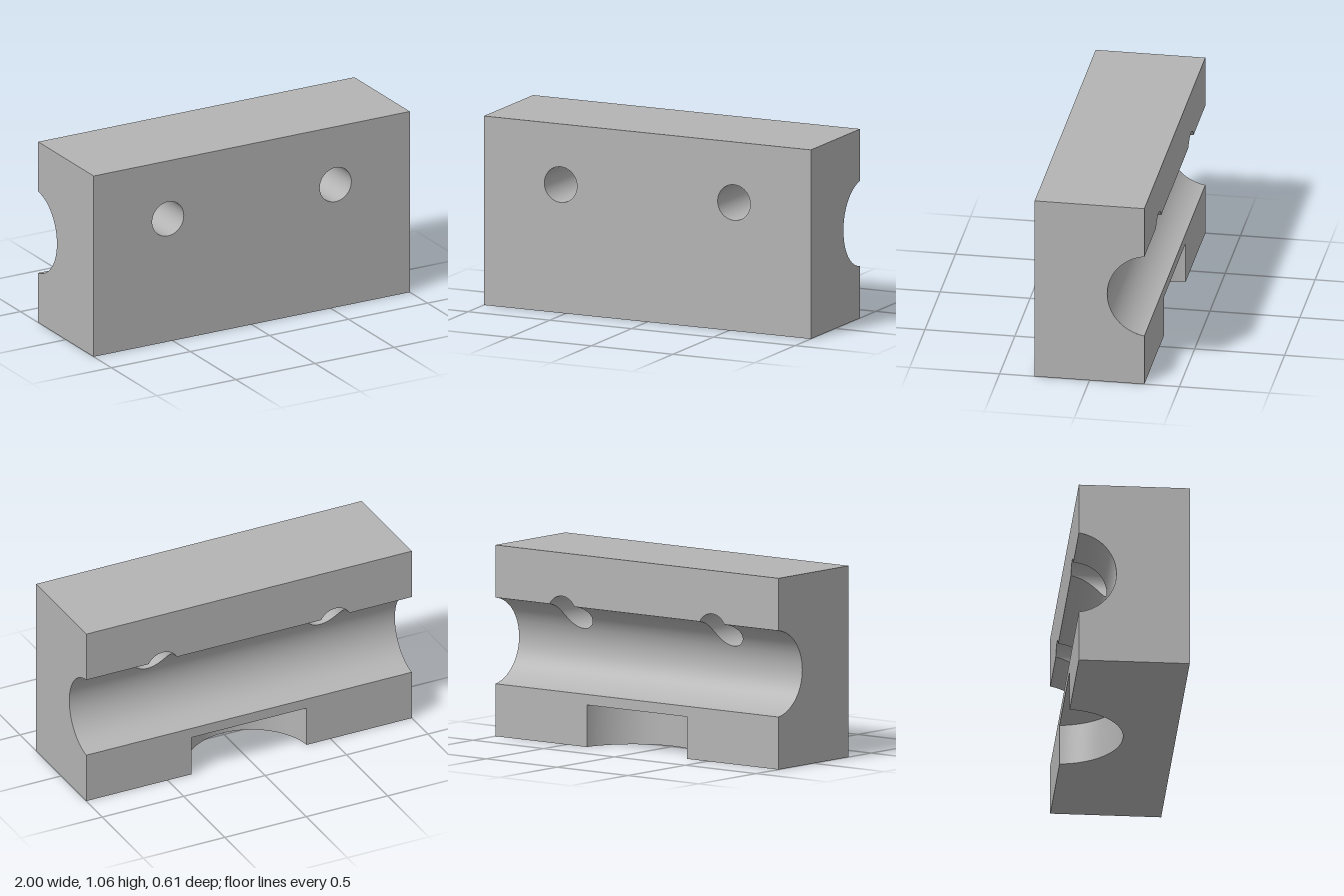
import * as THREE from 'three';

const W = 1, H = 1.06, D = 0.305;            // half width, height, half depth
const AXIS_Z = -0.34;                        // axis of channel and pocket, just behind the back
const CH_Y = 0.53, CH_R = 0.2415;            // round channel along x
const HOLE_X = 0.53, HOLE_Y = 0.72, HOLE_R = 0.1;
const POCKET_R = 0.3557, POCKET_H = 0.233;   // round pocket rising from the bottom

const range = (n, f) => Array.from({ length: n + 1 }, (_, i) => f(i / n));

// Smooth surface through rows of points; it faces (along row) x (row to row)
function loft(rows) {
  const n = rows[0].length, index = [];
  for (let i = 0; i < rows.length - 1; i++) {
    for (let j = 0; j < n - 1; j++) {
      const a = i * n + j, b = a + 1, c = a + n, d = c + 1;
      index.push(a, b, d, a, d, c);
    }
  }
  const g = new THREE.BufferGeometry();
  g.setAttribute('position', new THREE.Float32BufferAttribute(rows.flat(2), 3));
  g.setIndex(index);
  g.computeVertexNormals();
  return g;
}

// Flat outline with optional round holes
function flat(points, holes = []) {
  const shape = new THREE.Shape(points.map(([x, y]) => new THREE.Vector2(x, y)));
  for (const h of holes) shape.holes.push(new THREE.Path(h.map(([x, y]) => new THREE.Vector2(x, y))));
  return new THREE.ShapeGeometry(shape);
}

export function createModel() {
  const group = new THREE.Group();
  const grey = new THREE.MeshStandardMaterial({ color: 0xb4b4b4, side: THREE.DoubleSide });
  const add = (name, geometry) => {
    grey.name = 'grey';
    const mesh = new THREE.Mesh(geometry, grey);
    mesh.name = name;
    group.add(mesh);
  };

  // Channel profile
  const chA = Math.acos((-D - AXIS_Z) / CH_R);
  const yTop = CH_Y + CH_R * Math.sin(chA), yBot = 2 * CH_Y - yTop;
  const channelZ = y => (y >= yTop || y <= yBot ? -D
    : AXIS_Z + Math.sqrt(CH_R ** 2 - (y - CH_Y) ** 2));

  // Heights across a hole, with the channel edge included
  const holeYs = range(32, t => HOLE_Y - HOLE_R * Math.cos(Math.PI * t));
  holeYs.push(yTop);
  holeYs.sort((a, b) => a - b);
  const halfWidth = y => Math.sqrt(Math.max(0, HOLE_R ** 2 - (y - HOLE_Y) ** 2));
  const ring = (cx, ys) => [
    ...ys.map(y => [cx + halfWidth(y), y]),
    ...ys.slice(0, -1).reverse().map(y => [cx - halfWidth(y), y]),
  ];
  const centres = [-HOLE_X, HOLE_X];

  // Front, top
  const rect = [[-W, 0], [W, 0], [W, H], [-W, H]];
  add('frontFace', flat(rect, centres.map(cx => ring(cx, holeYs).slice(0, -1))).translate(0, 0, D));
  add('topFace', flat([[-W, -D], [W, -D], [W, D], [-W, D]]).rotateX(-Math.PI / 2).translate(0, H, 0));

  // Ends with the channel cut out
  const arc = range(48, t => {
    const a = chA * (2 * t - 1);
    return [AXIS_Z + CH_R * Math.cos(a), CH_Y + CH_R * Math.sin(a)];
  });
  const endOutline = [[D, 0], [D, H], [-D, H], ...arc.slice().reverse(), [-D, 0]];
  add('rightEnd', flat(endOutline).rotateY(-Math.PI / 2).translate(-W, 0, 0));
  add('leftEnd', flat(endOutline.map(([z, y]) => [-z, y])).rotateY(Math.PI / 2).translate(W, 0, 0));

  // Back strips above and below the channel
  const upperYs = holeYs.filter(y => y >= yTop);
  const notches = centres.flatMap(cx => ring(cx, upperYs).reverse());
  add('backUpperFace', flat([[-W, yTop], ...notches, [W, yTop], [W, H], [-W, H]])
    .rotateY(Math.PI).translate(0, 0, -D));
  const pkA = Math.acos((-D - AXIS_Z) / POCKET_R), px = POCKET_R * Math.sin(pkA);
  add('backLowerFace', flat([[-W, 0], [-px, 0], [-px, POCKET_H], [px, POCKET_H], [px, 0],
    [W, 0], [W, yBot], [-W, yBot]]).rotateY(Math.PI).translate(0, 0, -D));

  // Bottom and pocket
  const pocketArc = range(48, t => {
    const a = pkA * (2 * t - 1);
    return [POCKET_R * Math.sin(a), AXIS_Z + POCKET_R * Math.cos(a)];
  });
  add('bottomFace', flat([[-W, -D], ...pocketArc, [W, -D], [W, D], [-W, D]]).rotateX(Math.PI / 2));
  add('pocketCeiling', flat(pocketArc).rotateX(Math.PI / 2).translate(0, POCKET_H, 0));
  add('pocketWall', loft([POCKET_H, 0].map(y => pocketArc.map(([x, z]) => [x, y, z]))));

  // Channel wall: plain below the holes, three spans around them above
  const span = (ys, left, right) => loft(ys.map(y => [[left(y), y, channelZ(y)], [right(y), y, channelZ(y)]]));
  const aHole = Math.asin((HOLE_Y - HOLE_R - CH_Y) / CH_R);
  const lowerYs = range(36, t => CH_Y + CH_R * Math.sin(-chA + t * (chA + aHole)));
  const cutYs = holeYs.filter(y => y <= yTop);
  add('channelLower', span(lowerYs, () => W, () => -W));
  add('channelUpperLeft', span(cutYs, () => W, y => HOLE_X + halfWidth(y)));
  add('channelUpperMiddle', span(cutYs, y => HOLE_X - halfWidth(y), y => -HOLE_X + halfWidth(y)));
  add('channelUpperRight', span(cutYs, y => -HOLE_X - halfWidth(y), () => -W));

  // Hole walls from the front to the channel
  for (const cx of centres) {
    const outline = ring(cx, holeYs);
    add('holeWall', loft([
      outline.map(([x, y]) => [x, y, D]),
      outline.map(([x, y]) => [x, y, channelZ(y)]),
    ]));
  }
  return group;
}
